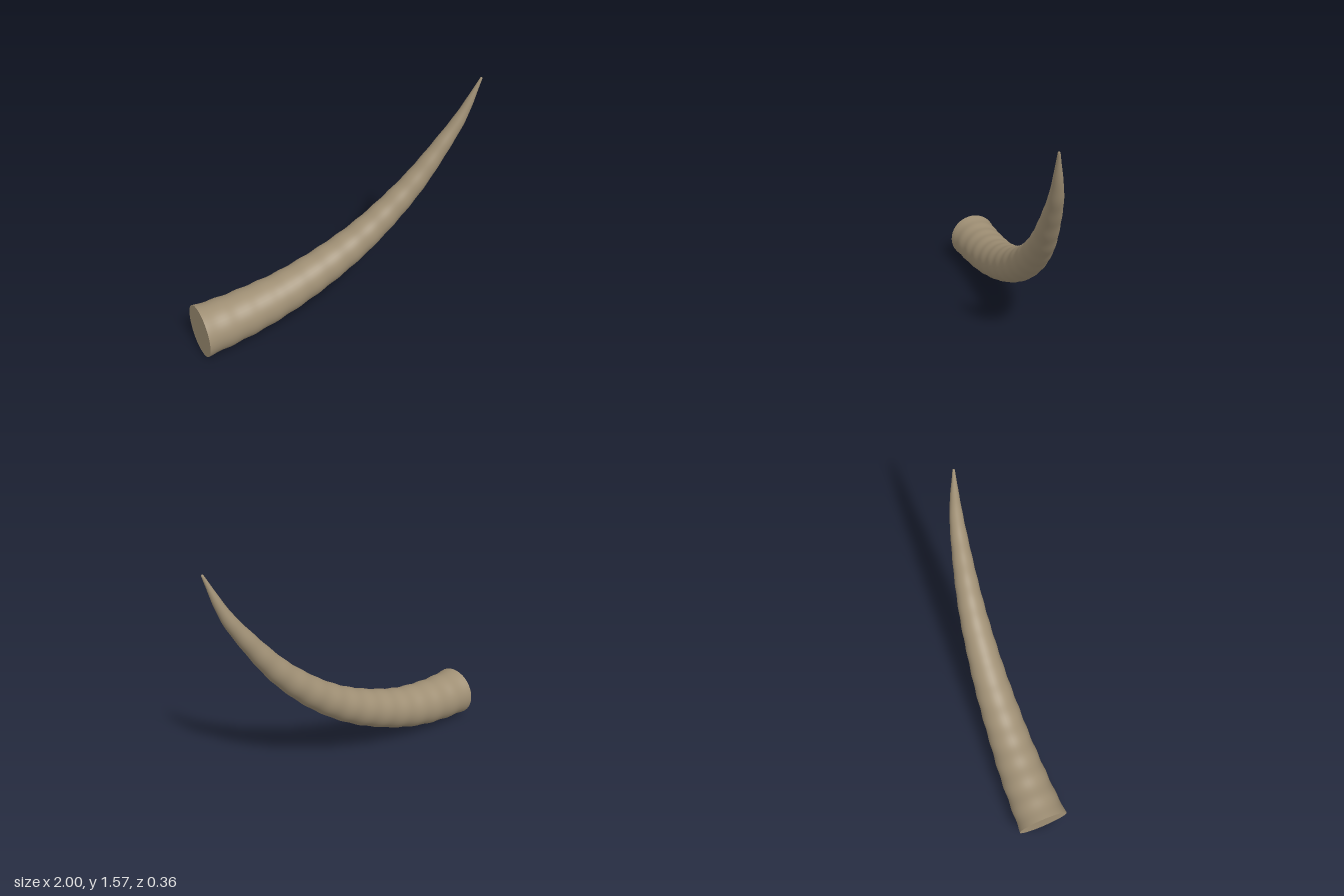
import * as THREE from 'three';

// Centre line stations: x, y, z, radius
const stations = [
  [-1, 0.18, -0.004, 0.173], [-0.8, 0.189, -0.007, 0.163], [-0.6, 0.216, -0.006, 0.155],
  [-0.4, 0.262, 0, 0.143], [-0.2, 0.332, 0.008, 0.133], [0, 0.422, 0.018, 0.122],
  [0.2, 0.54, 0.033, 0.109], [0.4, 0.695, 0.051, 0.095], [0.6, 0.895, 0.078, 0.077],
  [0.8, 1.165, 0.114, 0.053], [0.9, 1.335, 0.139, 0.036], [0.992, 1.57, 0.175, 0.007],
];
const RINGS = 160, SIDES = 40, RIDGES = 16;

export function createModel() {
  const group = new THREE.Group();
  group.name = 'horn';
  const hornMaterial = new THREE.MeshStandardMaterial({ color: 0xa09075 });
  hornMaterial.name = 'horn tan';

  const path = new THREE.CatmullRomCurve3(
    stations.map(([x, y, z]) => new THREE.Vector3(x, y, z)), false, 'catmullrom');
  const radii = new THREE.CatmullRomCurve3(
    stations.map((s) => new THREE.Vector3(s[3], 0, 0)), false, 'catmullrom');

  // Tapering body: circular sections swept along the curve, with faint growth ridges
  const positions = [], indices = [];
  let baseRadius = 0;
  for (let i = 0; i <= RINGS; i++) {
    const t = i / RINGS, u = path.getUtoTmapping(t);
    const centre = path.getPoint(u);
    const tangent = i === 0 ? new THREE.Vector3(1, 0, 0) : path.getTangent(u);
    const up = new THREE.Vector3(0, 0, 1).cross(tangent).normalize();
    const side = tangent.clone().cross(up);
    const r = radii.getPoint(u).x * (1 + 0.016 * Math.cos(2 * Math.PI * RIDGES * t));
    if (i === 0) baseRadius = r;
    for (let j = 0; j < SIDES; j++) {
      const a = (j / SIDES) * Math.PI * 2;
      const p = centre.clone().addScaledVector(up, r * Math.cos(a)).addScaledVector(side, r * Math.sin(a));
      positions.push(p.x, p.y, p.z);
      if (i < RINGS) {
        const k = (j + 1) % SIDES;
        const p0 = i * SIDES + j, p1 = i * SIDES + k;
        indices.push(p0, p1, p0 + SIDES, p1, p1 + SIDES, p0 + SIDES);
      }
    }
  }
  // Rounded-off tip
  const tip = path.getPoint(1).addScaledVector(path.getTangent(1), 0.006);
  positions.push(tip.x, tip.y, tip.z);
  const last = RINGS * SIDES;
  for (let j = 0; j < SIDES; j++) indices.push(last + j, last + ((j + 1) % SIDES), last + SIDES);

  const geometry = new THREE.BufferGeometry();
  geometry.setAttribute('position', new THREE.Float32BufferAttribute(positions, 3));
  geometry.setIndex(indices);
  geometry.computeVertexNormals();
  const body = new THREE.Mesh(geometry, hornMaterial);
  body.name = 'hornBody';
  group.add(body);

  // Flat cut end at the root
  const cap = new THREE.Mesh(new THREE.CircleGeometry(baseRadius, SIDES), hornMaterial);
  cap.name = 'rootCap';
  cap.rotation.y = -Math.PI / 2;
  cap.position.set(...stations[0].slice(0, 3));
  group.add(cap);
  return group;
}
